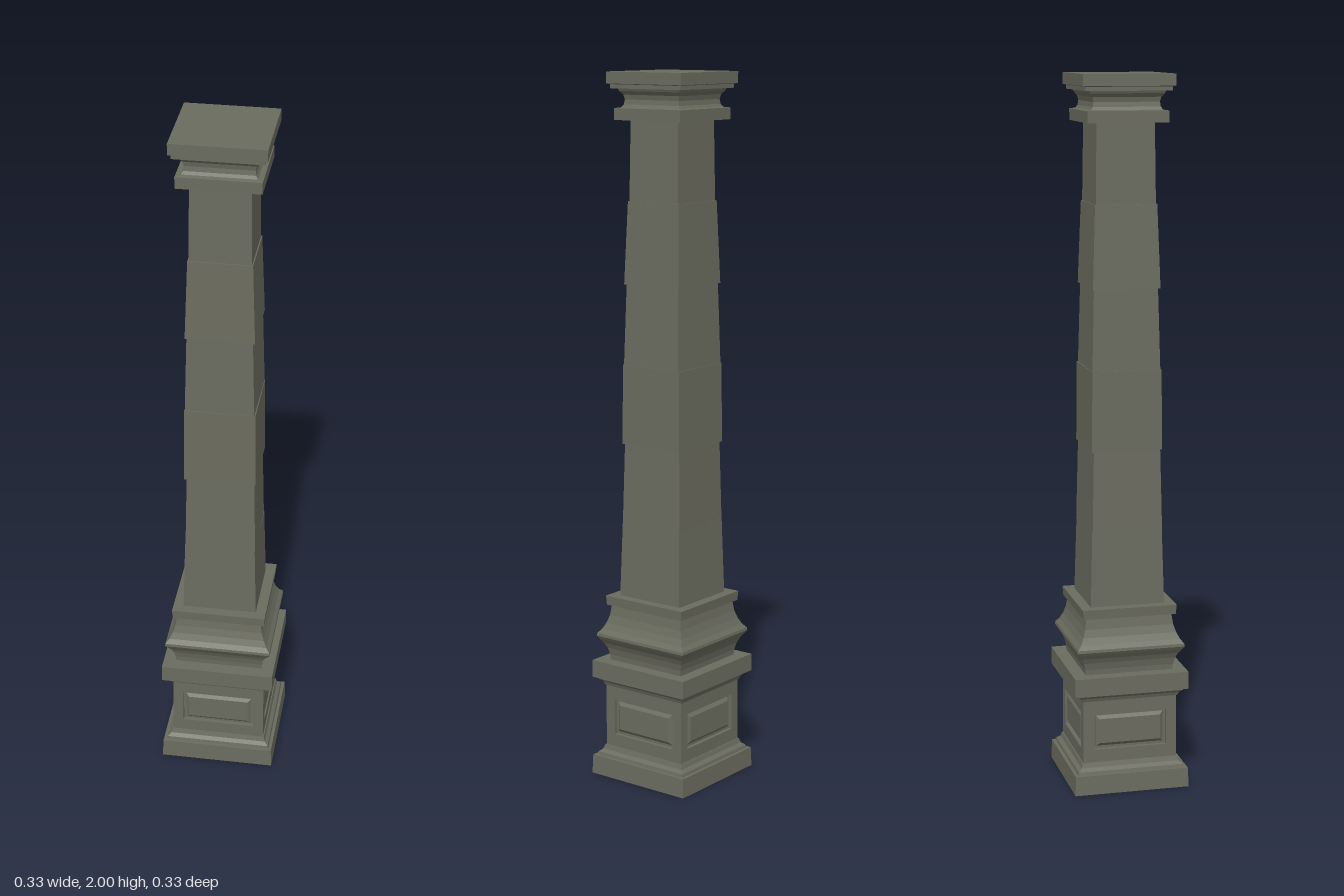
import * as THREE from 'three';

const stone = new THREE.MeshStandardMaterial({ color: 0x6b6c5f, roughness: 0.9, flatShading: true });

// Square moulding swept around the axis from [half width, y] points
function squareSweep(name, points) {
  const profile = points.map(([w, y]) => new THREE.Vector2(w * Math.SQRT2, y));
  const geometry = new THREE.LatheGeometry(profile, 4, Math.PI / 4).toNonIndexed();
  geometry.computeVertexNormals();
  const mesh = new THREE.Mesh(geometry, stone);
  mesh.name = name;
  return mesh;
}

function rectangle(PathType, w, y0, y1) {
  const p = new PathType();
  p.moveTo(-w, y0);
  p.lineTo(w, y0);
  p.lineTo(w, y1);
  p.lineTo(-w, y1);
  p.closePath();
  return p;
}

// One face of the die: a pierced wall with a bevelled field set in the opening
function pedestalFace() {
  const face = new THREE.Group();
  face.name = 'pedestalFace';
  const wall = rectangle(THREE.Shape, 0.135, 0.085, 0.27);
  wall.holes.push(rectangle(THREE.Path, 0.105, 0.122, 0.227));
  const frame = new THREE.Mesh(
    new THREE.ExtrudeGeometry(wall, { depth: 0.012, bevelEnabled: false }), stone);
  frame.name = 'panelFrame';
  frame.position.z = 0.123;
  const field = new THREE.Mesh(
    new THREE.ExtrudeGeometry(rectangle(THREE.Shape, 0.088, 0.139, 0.21), {
      depth: 0.002, bevelThickness: 0.007, bevelSize: 0.009, bevelSegments: 1
    }), stone);
  field.name = 'panelField';
  field.position.z = 0.124;
  face.add(frame, field);
  return face;
}

export function createModel() {
  const column = new THREE.Group();
  column.name = 'column';

  // Pedestal: plinth, recessed core behind the panels, and cap
  column.add(squareSweep('pedestal', [
    [0, 0], [0.165, 0], [0.163, 0.055], [0.154, 0.055], [0.152, 0.064],
    [0.142, 0.072], [0.138, 0.085], [0.124, 0.085], [0.124, 0.265],
    [0.137, 0.265], [0.141, 0.275], [0.15, 0.283], [0.15, 0.29],
    [0.163, 0.29], [0.163, 0.34], [0, 0.34]
  ]));
  for (let i = 0; i < 4; i++) {
    const face = pedestalFace();
    face.rotation.y = i * Math.PI / 2;
    column.add(face);
  }

  // Moulded base of the shaft
  column.add(squareSweep('shaftBase', [
    [0, 0.338], [0.126, 0.338], [0.127, 0.355], [0.132, 0.375], [0.139, 0.39],
    [0.149, 0.404], [0.154, 0.412], [0.153, 0.42], [0.143, 0.432], [0.134, 0.45],
    [0.127, 0.472], [0.123, 0.5], [0.133, 0.503], [0.135, 0.53], [0, 0.53]
  ]));

  // Tapering blocks, slightly uneven: [bottom half width, top half width, y0, y1, twist]
  const blocks = [
    [0.106, 0.1, 0.525, 0.745, 0],
    [0.1, 0.095, 0.74, 0.97, 0.012],
    [0.1, 0.098, 0.97, 1.195, 0],
    [0.096, 0.09, 1.19, 1.42, -0.012],
    [0.095, 0.087, 1.42, 1.65, 0],
    [0.084, 0.081, 1.645, 1.875, 0]
  ];
  const shaft = new THREE.Group();
  shaft.name = 'shaft';
  for (const [w0, w1, y0, y1, twist] of blocks) {
    const block = squareSweep('shaftBlock', [[0, y0], [w0, y0], [w1, y1], [0, y1]]);
    block.rotation.y = twist;
    shaft.add(block);
  }
  column.add(shaft);

  // Capital
  column.add(squareSweep('capital', [
    [0, 1.87], [0.113, 1.87], [0.113, 1.902], [0.099, 1.904], [0.094, 1.912],
    [0.092, 1.925], [0.095, 1.938], [0.103, 1.948], [0.106, 1.955], [0.12, 1.955],
    [0.12, 1.966], [0.128, 1.968], [0.128, 2], [0, 2]
  ]));
  return column;
}
